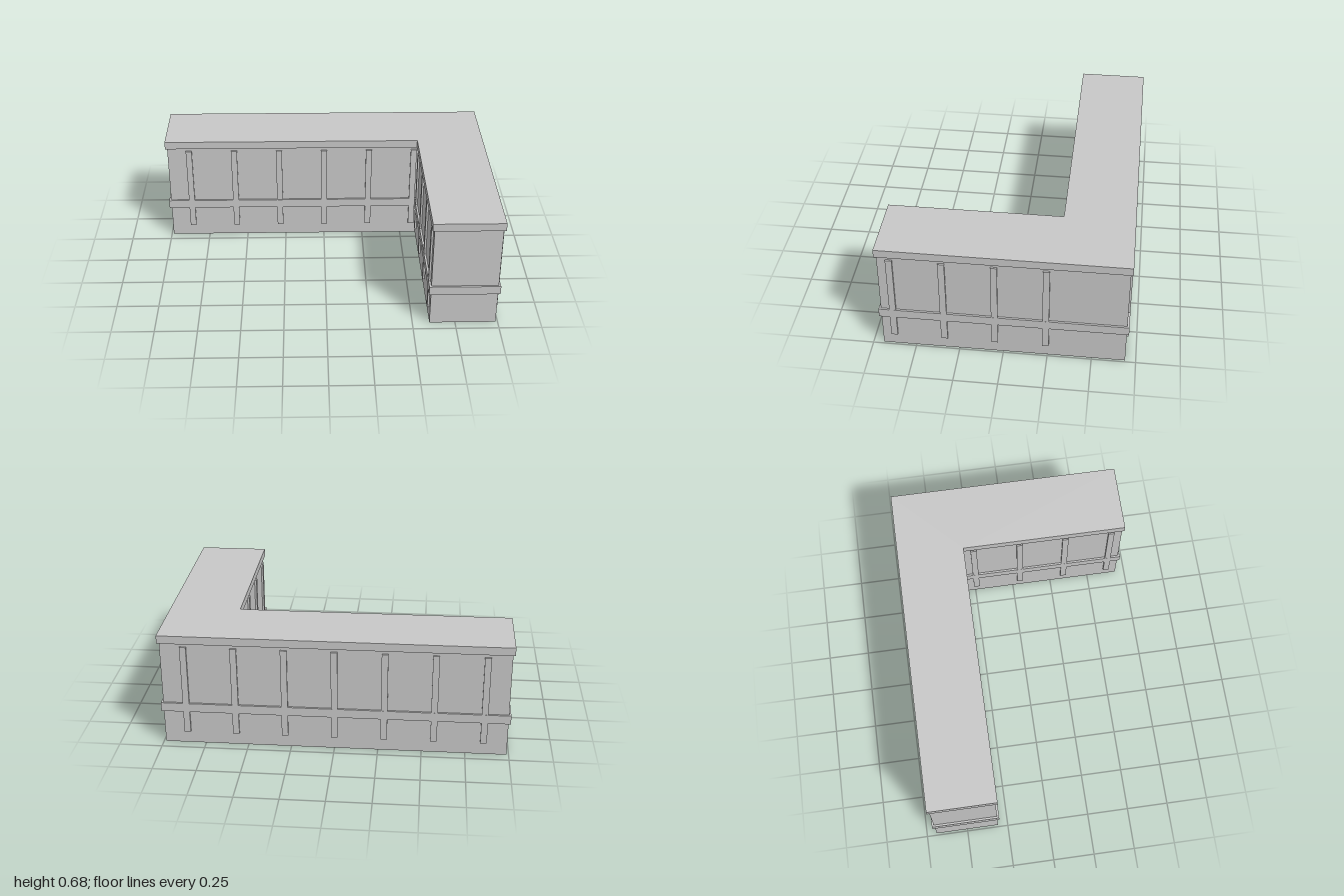
import * as THREE from 'three';

export function createModel() {
  const group = new THREE.Group();
  group.name = 'cornerCounter';
  const grey = new THREE.MeshStandardMaterial({ color: 0xc8c8c8 });
  grey.name = 'lightGrey';

  const INNER_X = 0.588, INNER_Z = -0.298; // inside corner of the L
  const OUT_X = 1, OUT_Z = 0.702;
  const INSET = 0.012;                     // how far the body sits back

  function add(geometry, name) {
    const mesh = new THREE.Mesh(geometry, grey);
    mesh.name = name;
    group.add(mesh);
    return mesh;
  }

  // L-shaped layer, drawn in plan and raised from y0 to y1
  function layer(name, inset, y0, y1) {
    const x = OUT_X - inset, z = OUT_Z - inset;
    const ix = INNER_X + inset, iz = INNER_Z - inset;
    const plan = [[-x, -z], [x, -z], [x, z], [ix, z], [ix, iz], [-x, iz]];
    const shape = new THREE.Shape(plan.map(([px, pz]) => new THREE.Vector2(px, -pz)));
    const geometry = new THREE.ExtrudeGeometry(shape, { depth: y1 - y0, bevelEnabled: false });
    geometry.rotateX(-Math.PI / 2);
    geometry.translate(0, y0, 0);
    add(geometry, name);
  }

  layer('body', INSET, 0, 0.635);
  layer('bandRail', 0, 0.206, 0.259);
  layer('countertop', 0, 0.635, 0.683);

  // Upright battens on the long faces of both arms
  const WIDTH = 0.037, LOW = 0.074, HIGH = 0.615, SPACING = 0.2845;
  function batten(x, z, alongX) {
    const geometry = new THREE.BoxGeometry(alongX ? WIDTH : INSET, HIGH - LOW, alongX ? INSET : WIDTH);
    add(geometry, 'batten').position.set(x, (LOW + HIGH) / 2, z);
  }
  const half = INSET / 2 + 0.0005; // just behind the rail face
  for (let i = 0; i < 7; i++) {
    const x = -0.853 + i * SPACING;
    batten(x, -OUT_Z + half, true);
    if (i < 6) batten(x, INNER_Z - half, true);
  }
  for (let i = 0; i < 4; i++) {
    const z = 0.622 - i * 0.287;
    batten(OUT_X - half, z, false);
    batten(INNER_X + half, z, false);
  }

  return group;
}
